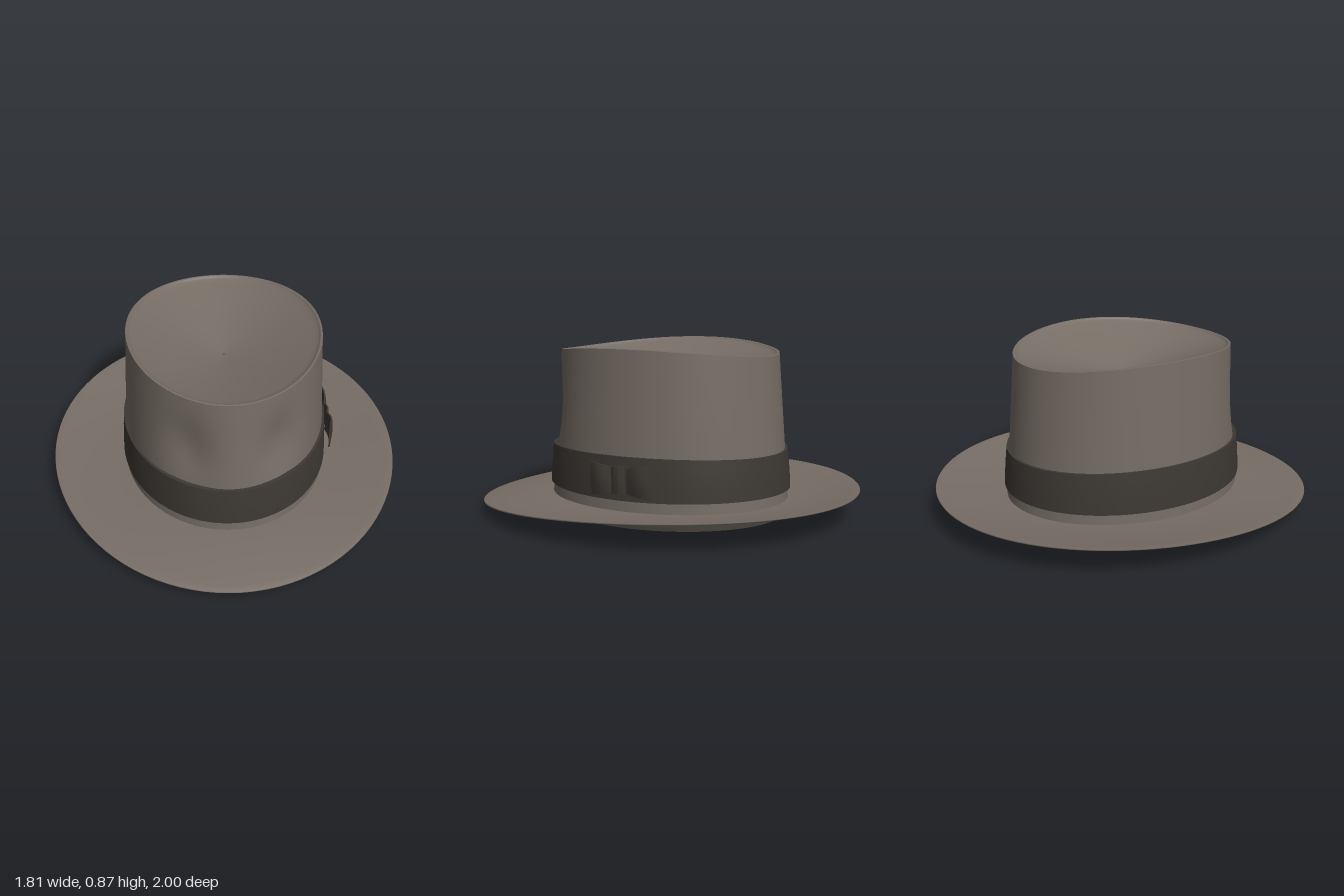
import * as THREE from 'three';
import { toCreasedNormals } from 'three/addons/utils/BufferGeometryUtils.js';

const SEG = 96;
const mix = (a, b, t) => a + (b - a) * t;
const gauss = (d, w) => Math.exp(-((d / w) ** 2));

// Surface of stacked closed rings; point(angle, row) gives [x, y, z], angle 0 is the front
function rings(rows, point) {
  const pos = [], idx = [];
  for (let j = 0; j < rows; j++) {
    for (let i = 0; i < SEG; i++) {
      let a = (i / SEG) * Math.PI * 2;
      if (a > Math.PI) a -= Math.PI * 2;
      pos.push(...point(a, j));
    }
  }
  for (let j = 0; j < rows - 1; j++) {
    for (let i = 0; i < SEG; i++) {
      const n = (i + 1) % SEG;
      const a = j * SEG + i, b = j * SEG + n, c = a + SEG, d = b + SEG;
      idx.push(a, b, d, a, d, c);
    }
  }
  const g = new THREE.BufferGeometry();
  g.setAttribute('position', new THREE.Float32BufferAttribute(pos, 3));
  g.setIndex(idx);
  g.computeVertexNormals();
  return g;
}

const oval = (a, rx, y, rz) => [rx * Math.sin(a), y, rz * Math.cos(a)];
const rimY = (a) => 0.82 + 0.045 * Math.sin(a) ** 2;

// Crown side, tapering upward, with two pinches at the front
function crownWall() {
  const n = 24;
  return rings(n + 1, (a, j) => {
    const h = j / n, y = mix(0.07, rimY(a), h);
    const pinch = 0.035 * gauss(Math.abs(a) - 0.45, 0.22) * gauss(y - 0.53, 0.17);
    return oval(a, mix(0.528, 0.49, h) - pinch, y, mix(0.638, 0.58, h) - pinch);
  });
}

// Crown top: a narrow rolled lip, then a dent falling to a small centre hole
function crownTop() {
  const lip = [[1, 0], [0.985, 0.003], [0.97, -0.003], [0.96, -0.01]];
  const n = 20;
  return rings(lip.length + n, (a, j) => {
    let r, y;
    if (j < lip.length) {
      r = lip[j][0];
      y = rimY(a) + lip[j][1];
    } else {
      r = mix(0.96, 0.016, (j - lip.length + 1) / n);
      y = mix(0.7, rimY(a) - 0.01, (r / 0.96) ** 1.3);
    }
    return oval(a, 0.49 * r, y, 0.58 * r);
  });
}

// Brim: dips at the front, curls up at the sides and back, rounded edge
function brim() {
  const n = 12, edge = [[0.993, -0.004], [1, 0], [0.993, 0.004]];
  const profile = [];
  for (let i = 0; i < n; i++) profile.push([i / n, -0.005]);
  profile.push(...edge);
  for (let i = n - 1; i >= 0; i--) profile.push([i / n, 0.005]);
  return rings(profile.length, (a, j) => {
    const [t, dy] = profile[j], s = Math.cos(a);
    const outer = 0.12 - 0.053 * s - 0.036 * s * s;
    const y = mix(0.08, outer, t ** 1.5) + dy;
    return oval(a, mix(0.515, 0.907, t), y, mix(0.62, 1, t));
  });
}

// Ribbon around the crown, with a gently waved top edge
function ribbon() {
  const profile = [[0, -0.02], [0, 0], [0.33, 0.002], [0.67, 0.002], [1, 0], [1, -0.02]];
  return toCreasedNormals(rings(profile.length, (a, j) => {
    const [h, off] = profile[j];
    const y = mix(0.14, 0.338 + 0.016 * Math.sin(a) ** 2, h);
    return oval(a, mix(0.537, 0.526, h) + off, y, mix(0.648, 0.631, h) + off);
  }), 0.7);
}

// Bow piece: bulged plate whose height changes from one end to the other
function bowPiece(zA, zB, halfA, halfB, x, bulge) {
  const g = new THREE.BoxGeometry(0.008, 1, 1, 1, 6, 10);
  const p = g.attributes.position;
  for (let i = 0; i < p.count; i++) {
    const t = p.getZ(i) + 0.5, v = p.getY(i) * 2;
    const lift = bulge * Math.sin(Math.PI * t) * (1 - 0.4 * v * v);
    p.setXYZ(i, x + p.getX(i) + lift, 0.244 + v * mix(halfA, halfB, t), mix(zA, zB, t));
  }
  return toCreasedNormals(g, 0.7);
}

export function createModel() {
  const hat = new THREE.Group();
  hat.name = 'hat';
  const felt = new THREE.MeshStandardMaterial({ name: 'felt', color: 0x766d65, side: THREE.DoubleSide });
  const band = new THREE.MeshStandardMaterial({ name: 'ribbon', color: 0x3d3833, side: THREE.DoubleSide });
  const lining = new THREE.MeshStandardMaterial({ name: 'sweatband', color: 0x45403b, side: THREE.DoubleSide });

  const add = (name, geometry, material, parent = hat) => {
    const mesh = new THREE.Mesh(geometry, material);
    mesh.name = name;
    parent.add(mesh);
  };

  add('crownWall', crownWall(), felt);
  add('crownTop', crownTop(), felt);
  add('brim', brim(), felt);
  add('ribbon', ribbon(), band);

  // Inner sweatband hanging below the brim
  add('sweatband', rings(2, (a, j) => oval(a, 0.512, j * 0.145, 0.615)), lining);

  // Bow on the left side
  const bow = new THREE.Group();
  bow.name = 'bow';
  add('bowFront', bowPiece(0.025, 0.145, 0.063, 0.083, 0.55, 0.02), band, bow);
  add('bowBack', bowPiece(-0.198, -0.055, 0.083, 0.063, 0.55, 0.02), band, bow);
  add('bowKnot', bowPiece(-0.042, 0.028, 0.068, 0.068, 0.552, 0.012), band, bow);
  hat.add(bow);

  return hat;
}
